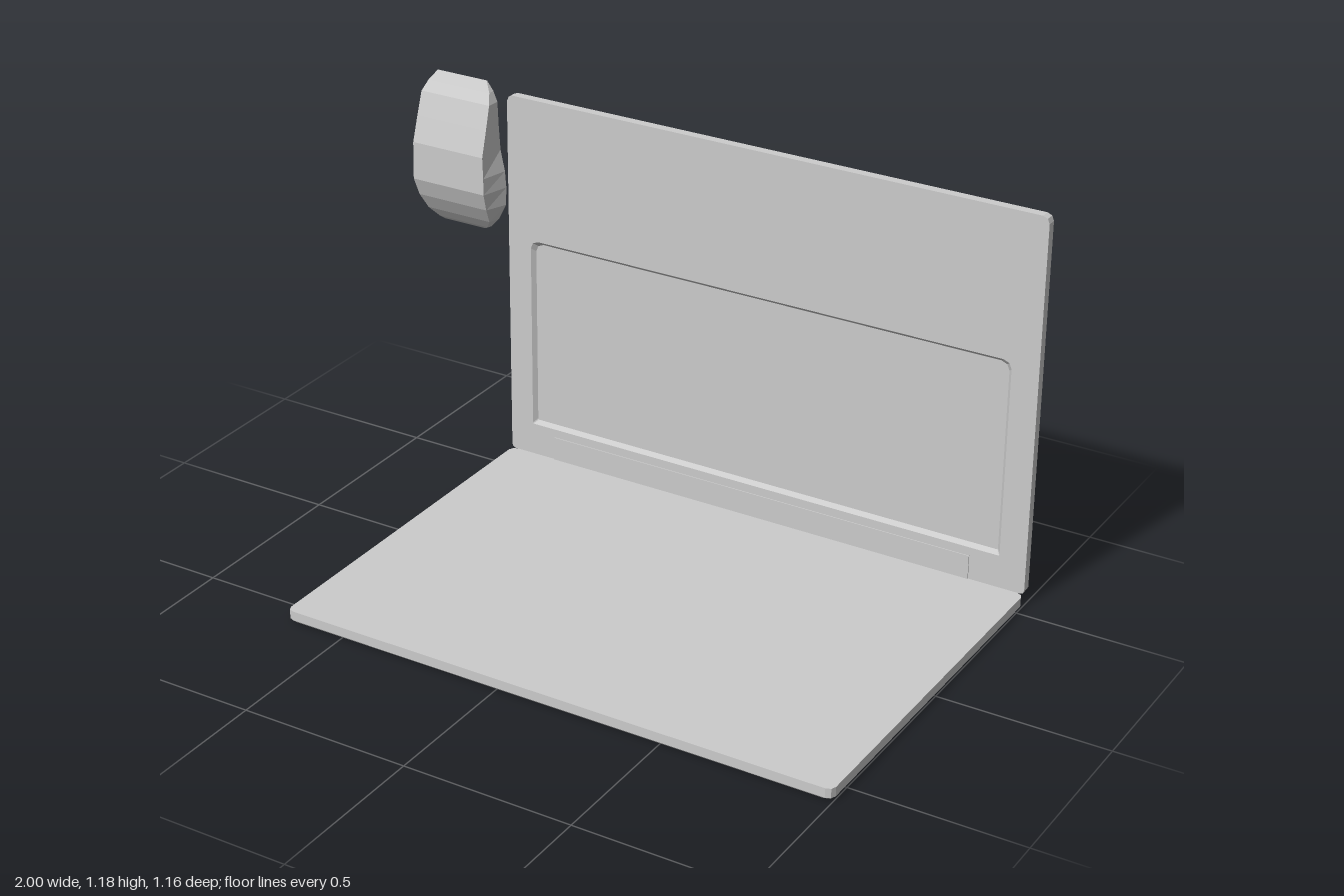
import * as THREE from 'three';

const material = new THREE.MeshStandardMaterial({ color: 0xcccccc, flatShading: true });

// Joins equal-sized rings of points into a closed solid with fan-capped ends
function loft(rings) {
  const pos = [];
  const tri = (...pts) => pts.forEach(p => pos.push(...p));
  const n = rings[0].length;
  for (let r = 0; r < rings.length - 1; r++) {
    const a = rings[r], b = rings[r + 1];
    for (let i = 0; i < n; i++) {
      const j = (i + 1) % n;
      tri(a[i], a[j], b[j]);
      tri(a[i], b[j], b[i]);
    }
  }
  const first = rings[0], last = rings[rings.length - 1];
  for (let i = 1; i < n - 1; i++) {
    tri(first[0], first[i + 1], first[i]);
    tri(last[0], last[i], last[i + 1]);
  }
  const geo = new THREE.BufferGeometry();
  geo.setAttribute('position', new THREE.Float32BufferAttribute(pos, 3));
  geo.computeVertexNormals();
  return geo;
}

// Counter-clockwise rectangle with rounded corners, at depth z
function rectRing(x0, x1, y0, y1, z, rTop, rBottom = rTop, inset = 0) {
  const corners = [[x1, y1, rTop], [x0, y1, rTop], [x0, y0, rBottom], [x1, y0, rBottom]];
  const cx = (x0 + x1) / 2, cy = (y0 + y1) / 2;
  const ring = [];
  corners.forEach(([x, y, r], k) => {
    const sx = Math.sign(x - cx), sy = Math.sign(y - cy);
    for (let i = 0; i <= 2; i++) {
      const a = (k + i / 2) * Math.PI / 2;
      ring.push([x - sx * (r + inset) + r * Math.cos(a), y - sy * (r + inset) + r * Math.sin(a), z]);
    }
  });
  return ring;
}

function addMesh(group, name, geometry) {
  const mesh = new THREE.Mesh(geometry, material);
  mesh.name = name;
  group.add(mesh);
  return mesh;
}

export function createModel() {
  const group = new THREE.Group();
  group.name = 'openLaptopWithMouse';

  // Lid lying flat, with a bevelled underside
  const lid = (z, inset) => rectRing(-0.68, 1, -0.58, 0.545, z, 0.02, 0.02, inset);
  addMesh(group, 'lid', loft([lid(0, 0.008), lid(0.008, 0), lid(0.036, 0)])).rotation.x = -Math.PI / 2;

  // Upright body: bevelled back, flat front, shallow recess with sloped walls
  const body = (z, inset) => rectRing(-0.68, 1, 0.036, 1.165, z, 0.02, 0.012, inset);
  const recess = (z, inset) => rectRing(-0.605, 0.92, 0.135, 0.73, z, 0.025, 0.004, inset);
  addMesh(group, 'body', loft([
    body(-0.58, 0.006), body(-0.572, 0), body(-0.545, 0),
    recess(-0.545, 0), recess(-0.557, 0.011),
  ]));

  // Hinge strip where the lid meets the body
  const hinge = addMesh(group, 'hinge', new THREE.BoxGeometry(1.36, 0.078, 0.02));
  hinge.position.set(0.15, 0.07, -0.552);

  // Mouse rows: y, half width at the flat underside, half width on top, top z
  const rows = [
    [0.715, 0.07, 0.07, -0.578],
    [0.725, 0.09, 0.085, -0.568],
    [0.755, 0.118, 0.107, -0.545],
    [0.805, 0.143, 0.117, -0.515],
    [0.86, 0.145, 0.122, -0.495],
    [0.91, 0.141, 0.122, -0.495],
    [0.975, 0.127, 0.12, -0.495],
    [1.05, 0.122, 0.119, -0.518],
    [1.12, 0.119, 0.117, -0.54],
    [1.15, 0.106, 0.105, -0.56],
    [1.178, 0.085, 0.085, -0.578],
  ];
  const mouse = addMesh(group, 'mouse', loft(rows.map(([y, wb, wt, z]) =>
    [[wt, y, z], [wb, y, -0.58], [-wb, y, -0.58], [-wt, y, z]])));
  mouse.position.x = -0.855;

  return group;
}
